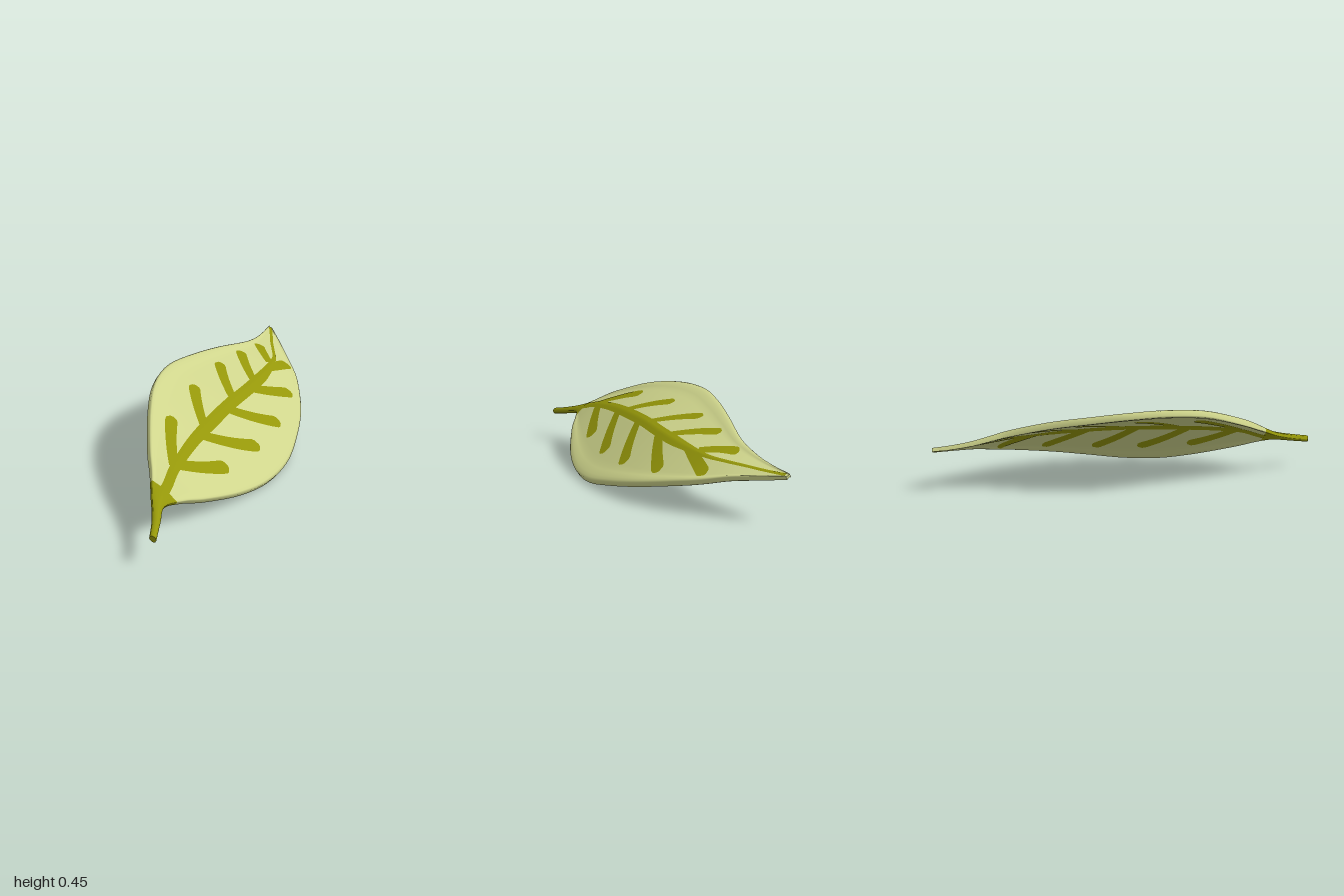
import * as THREE from 'three';

// Stations from tip to stem end: z, left edge x,y, midrib x,y, right edge x,y, half thickness
const STATIONS = [
  [-1, -0.205, 0.238, -0.195, 0.233, -0.185, 0.228, 0.010],
  [-0.9, -0.196, 0.246, -0.145, 0.234, -0.095, 0.212, 0.012],
  [-0.8, -0.190, 0.262, -0.098, 0.238, -0.010, 0.195, 0.014],
  [-0.7, -0.188, 0.288, -0.045, 0.244, 0.080, 0.166, 0.016],
  [-0.6, -0.198, 0.317, 0.000, 0.252, 0.155, 0.142, 0.018],
  [-0.4, -0.260, 0.370, 0.028, 0.272, 0.260, 0.097, 0.019],
  [-0.2, -0.320, 0.408, 0.027, 0.288, 0.320, 0.057, 0.019],
  [0, -0.355, 0.437, 0.012, 0.300, 0.350, 0.025, 0.019],
  [0.2, -0.325, 0.442, 0.002, 0.300, 0.330, 0.026, 0.019],
  [0.4, -0.240, 0.412, -0.003, 0.294, 0.270, 0.066, 0.019],
  [0.6, -0.130, 0.338, 0.008, 0.275, 0.175, 0.132, 0.019],
  [0.7, -0.063, 0.288, 0.022, 0.246, 0.112, 0.172, 0.019],
  [0.8, -0.004, 0.237, 0.034, 0.220, 0.064, 0.197, 0.018],
  [0.9, 0.057, 0.203, 0.077, 0.195, 0.096, 0.183, 0.018],
  [1, 0.100, 0.182, 0.115, 0.175, 0.130, 0.166, 0.017],
];
const curve = (i) => new THREE.CatmullRomCurve3(
  STATIONS.map((s) => new THREE.Vector3(s[i], s[i + 1], s[0])), false, 'catmullrom', 0.5);
const LEFT = curve(1), MID = curve(3), RIGHT = curve(5);

// Curve parameter at a given z
function paramAt(z) {
  let a = 0, b = 1;
  for (let i = 0; i < 30; i++) {
    const m = (a + b) / 2;
    if (MID.getPoint(m).z < z) a = m; else b = m;
  }
  return (a + b) / 2;
}

// Half thickness: thin blade with a raised rim, blending into a rounded stem
function halfThickness(t, s, z) {
  const f = t * (STATIONS.length - 1), i = Math.min(Math.floor(f), STATIONS.length - 2);
  const h = THREE.MathUtils.lerp(STATIONS[i][7], STATIONS[i + 1][7], f - i);
  const rim = THREE.MathUtils.smoothstep(s, 0.74, 0.9);
  const bevel = s > 0.97 ? 1 - 0.3 * (s - 0.97) / 0.03 : 1;
  const blade = h * (0.62 + 0.38 * rim) * bevel;
  const round = h * Math.sqrt(1 - 0.8 * s * s);
  return THREE.MathUtils.lerp(blade, round, THREE.MathUtils.smoothstep(z, 0.6, 0.82));
}

// Point on the upper (side 1) or lower (side -1) face; v runs -1 to 1 across
function surfacePoint(t, v, side, lift = 0) {
  const l = LEFT.getPoint(t), m = MID.getPoint(t), r = RIGHT.getPoint(t);
  const s = Math.abs(v);
  const n = new THREE.Vector3(l.y - r.y, r.x - l.x, 0).normalize();
  const h = halfThickness(t, s, m.z) + lift;
  return m.clone().lerp(v < 0 ? l : r, s).addScaledVector(n, side * h);
}

function makeGeometry(positions, index) {
  const g = new THREE.BufferGeometry();
  g.setAttribute('position', new THREE.Float32BufferAttribute(positions, 3));
  g.setIndex(index);
  g.computeVertexNormals();
  return g;
}

const HALF = [0, 0.12, 0.25, 0.4, 0.55, 0.68, 0.76, 0.82, 0.87, 0.92, 0.97, 1];
const ACROSS = [...HALF.slice(1).reverse().map((v) => -v), ...HALF];

// Closed loft between two z positions, capped at the chosen end
function loft(z0, z1, rings, capEnd) {
  const t0 = paramAt(z0), t1 = paramAt(z1), pos = [], index = [];
  const n = ACROSS.length * 2;
  const ring = (t) => [
    ...ACROSS.map((v) => surfacePoint(t, v, 1)),
    ...[...ACROSS].reverse().map((v) => surfacePoint(t, v, -1)),
  ];
  for (let i = 0; i <= rings; i++) {
    ring(THREE.MathUtils.lerp(t0, t1, i / rings)).forEach((p) => pos.push(p.x, p.y, p.z));
    if (i === rings) break;
    for (let j = 0; j < n; j++) {
      const a = i * n + j, b = i * n + (j + 1) % n, c = a + n, d = b + n;
      index.push(a, c, b, b, c, d);
    }
  }
  const tc = capEnd ? t1 : t0, base = pos.length / 3, m = MID.getPoint(tc);
  ring(tc).forEach((p) => pos.push(p.x, p.y, p.z));
  pos.push(m.x, m.y, m.z);
  for (let j = 0; j < n; j++) {
    const a = base + j, b = base + (j + 1) % n;
    index.push(base + n, ...(capEnd ? [b, a] : [a, b]));
  }
  return makeGeometry(pos, index);
}

// Thin strip following the face; path(k) gives {x, z, w} seen from above
function ribbon(path, steps, side) {
  const cols = 6, pos = [], index = [];
  for (let i = 0; i <= steps; i++) {
    const k = i / steps, p = path(k);
    const a = path(Math.max(0, k - 0.01)), b = path(Math.min(1, k + 0.01));
    const len = Math.hypot(b.x - a.x, b.z - a.z);
    const nx = -(b.z - a.z) / len, nz = (b.x - a.x) / len;
    for (let j = 0; j <= cols; j++) {
      const o = (j / cols - 0.5) * p.w;
      const x = p.x + nx * o, z = THREE.MathUtils.clamp(p.z + nz * o, -1, 1);
      const t = paramAt(z), m = MID.getPoint(t).x;
      const edge = x < m ? m - LEFT.getPoint(t).x : RIGHT.getPoint(t).x - m;
      const v = THREE.MathUtils.clamp((x - m) / edge, -0.9, 0.9);
      const q = surfacePoint(t, v, side, 0.003);
      pos.push(q.x, q.y, q.z);
      if (i < steps && j < cols) {
        const e = i * (cols + 1) + j, f = e + cols + 1;
        index.push(...(side > 0 ? [e, e + 1, f, e + 1, f + 1, f] : [e, f, e + 1, e + 1, f, f + 1]));
      }
    }
  }
  return makeGeometry(pos, index);
}

// Side veins: base x, z and end x, z
const VEINS = [
  [0, 0.6, -0.15, 0.34], [0, 0.27, -0.185, 0.03], [0.01, -0.04, -0.185, -0.27],
  [0.02, -0.28, -0.16, -0.49], [0, -0.54, -0.135, -0.69],
  [0.01, 0.58, 0.165, 0.34], [0.01, 0.32, 0.215, 0.07], [0.02, 0.05, 0.225, -0.18],
  [0.03, -0.2, 0.175, -0.455], [0.02, -0.48, 0.055, -0.69],
];

export function createModel() {
  const leafGreen = new THREE.MeshStandardMaterial({ color: 0xcfd58c });
  leafGreen.name = 'paleLeafGreen';
  const veinOlive = new THREE.MeshStandardMaterial({ color: 0x959709, side: THREE.DoubleSide });
  veinOlive.name = 'veinOlive';

  const group = new THREE.Group();
  group.name = 'leaf';
  const add = (name, geometry, material) => {
    const mesh = new THREE.Mesh(geometry, material);
    mesh.name = name;
    group.add(mesh);
  };

  add('blade', loft(-1, 0.735, 72, false), leafGreen);
  add('stem', loft(0.735, 1, 16, true), veinOlive);

  // Midrib tapers to a fine line toward the tip
  const midrib = (k) => {
    const z = THREE.MathUtils.lerp(0.74, -0.99, k);
    const w = 0.018 + 0.042 * THREE.MathUtils.smoothstep(z, -0.7, -0.3)
      - 0.015 * THREE.MathUtils.smoothstep(z, 0.1, 0.65);
    return { x: MID.getPoint(paramAt(z)).x, z, w };
  };
  // Side veins widen outward and end rounded
  const vein = ([x0, z0, x1, z1]) => (k) => {
    const end = Math.max(0, (k - 0.88) / 0.12);
    const w = (0.045 + 0.018 * k) * Math.sqrt(Math.max(0.05, 1 - end * end));
    return {
      x: THREE.MathUtils.lerp(x0, x1, k) + (x1 - x0) * 0.25 * k * (1 - k),
      z: THREE.MathUtils.lerp(z0, z1, k), w,
    };
  };
  for (const [face, side] of [['upper', 1], ['lower', -1]]) {
    add(face + 'Midrib', ribbon(midrib, 72, side), veinOlive);
    VEINS.forEach((v, i) => add(face + 'Vein' + (i + 1), ribbon(vein(v), 20, side), veinOlive));
  }
  return group;
}
